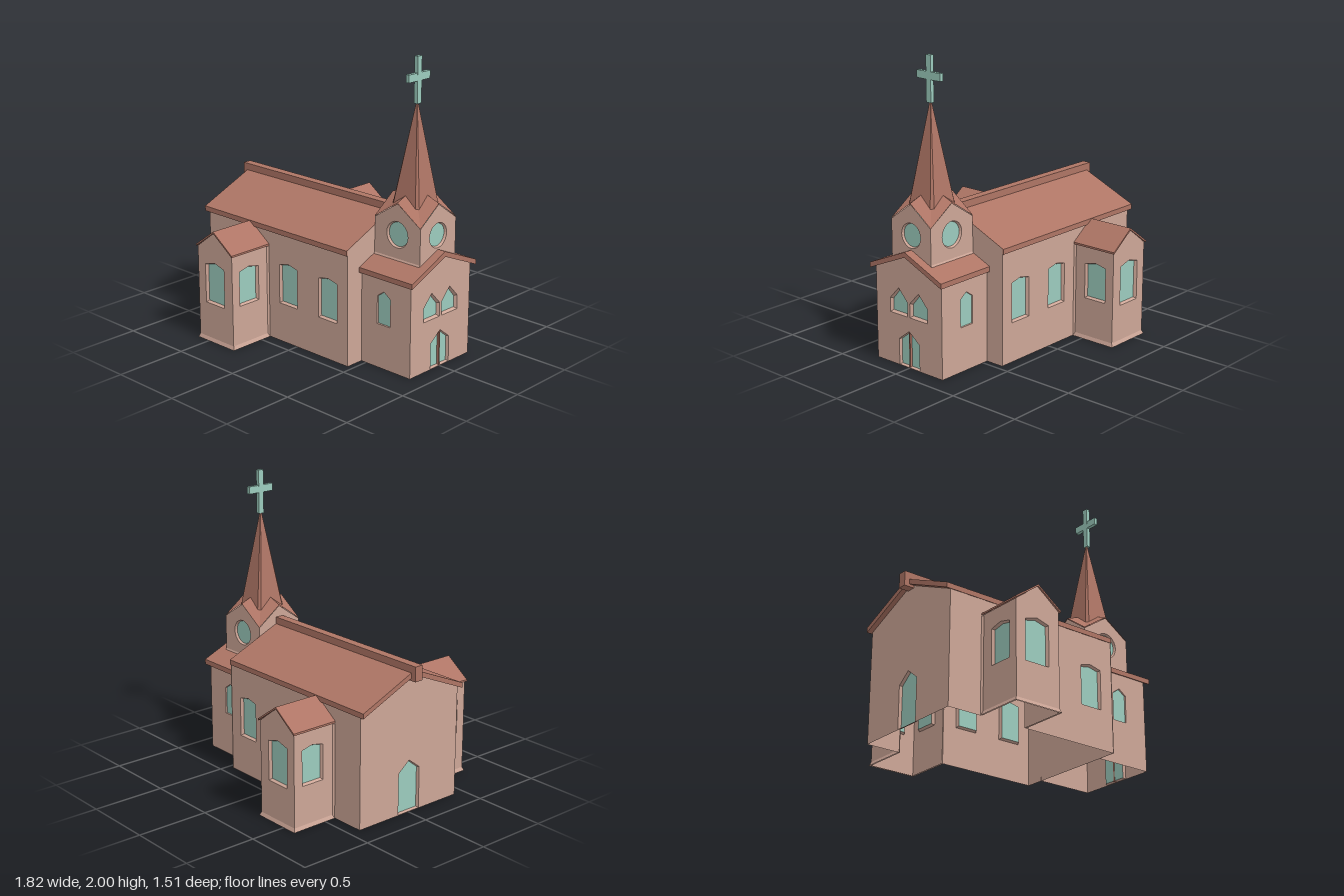
import * as THREE from 'three';

const material = (name, color) => {
  const m = new THREE.MeshStandardMaterial({ color, side: THREE.DoubleSide, flatShading: true });
  m.name = name;
  return m;
};

export function createModel() {
  const plaster = material('pink plaster', 0xcda697);
  const tile = material('red roof tile', 0xae7565);
  const glass = material('pale green', 0x9ccbbd);
  const root = new THREE.Group();
  root.name = 'church';

  const add = (parent, name, geometry, mat) => {
    const mesh = new THREE.Mesh(geometry, mat);
    mesh.name = name;
    parent.add(mesh);
    return mesh;
  };
  const box = (name, w, h, d, x, y, z, mat) =>
    add(root, name, new THREE.BoxGeometry(w, h, d), mat).position.set(x, y, z);

  const triangles = (positions) => {
    const g = new THREE.BufferGeometry();
    g.setAttribute('position', new THREE.Float32BufferAttribute(positions, 3));
    g.computeVertexNormals();
    return g;
  };
  // Strip of quads between two matching rows of 3D points
  const loft = (a, b, closed = true) => {
    const p = [];
    for (let i = 0; i < a.length - (closed ? 0 : 1); i++) {
      const j = (i + 1) % a.length;
      p.push(...a[i], ...a[j], ...b[j], ...a[i], ...b[j], ...b[i]);
    }
    return triangles(p);
  };
  const shapeOf = (pts) => new THREE.Shape(pts.map(([x, y]) => new THREE.Vector2(x, y)));

  // Openings: outer outline on the wall, smaller inner outline for the recessed glass
  const pointed = (c, w, y0, ySide, yPeak, bevel = 0.01, depth = 0.02) => {
    const ring = (b) => [[c - w / 2 + b, y0 + b], [c + w / 2 - b, y0 + b],
      [c + w / 2 - b, ySide - b / 2], [c, yPeak - b], [c - w / 2 + b, ySide - b / 2]];
    return { outer: ring(0), inner: ring(bevel), depth };
  };
  const round = (c, y, r) => {
    const ring = (q) => Array.from({ length: 24 }, (_, i) => {
      const t = (i / 24) * Math.PI * 2;
      return [c + q * Math.cos(t), y + q * Math.sin(t)];
    });
    return { outer: ring(r), inner: ring(r - 0.008), depth: 0.015 };
  };

  // Upright wall facing +/- axis; outlines run along the world x or z direction
  const wall = (name, axis, sign, x, z, outline, openings = []) => {
    const group = new THREE.Group();
    group.name = name;
    const k = axis === 'z' ? sign : -sign;
    const local = (pts) => pts.map(([u, v]) => [u * k, v]);
    const shape = shapeOf(local(outline));
    for (const o of openings) {
      const outer = local(o.outer), inner = local(o.inner);
      shape.holes.push(shapeOf(outer));
      add(group, 'windowReveal', loft(outer.map((p) => [...p, 0]), inner.map((p) => [...p, -o.depth])), plaster);
      add(group, 'windowPane', new THREE.ShapeGeometry(shapeOf(inner)), glass).position.z = -o.depth;
    }
    add(group, 'wallFace', new THREE.ShapeGeometry(shape), plaster);
    group.position.set(x, 0, z);
    group.rotation.y = axis === 'z' ? (sign > 0 ? 0 : Math.PI) : sign * Math.PI / 2;
    root.add(group);
  };
  const gable = (c, half, y0, eave, peak) =>
    [[c - half, y0], [c + half, y0], [c + half, eave], [c, peak], [c - half, eave]];
  const rect = (a, b, y0, y1) => [[a, y0], [b, y0], [b, y1], [a, y1]];

  // Chevron roof slab running along x or z
  const roof = (name, axis, from, to, centre, half, eave, ridge, thick) => {
    const s = shapeOf([[-half, eave - thick], [0, ridge - thick], [half, eave - thick],
      [half, eave], [0, ridge], [-half, eave]]);
    const m = add(root, name, new THREE.ExtrudeGeometry(s, { depth: to - from, bevelEnabled: false }), tile);
    if (axis === 'x') {
      m.rotation.y = Math.PI / 2;
      m.position.set(from, 0, centre);
    } else m.position.set(centre, 0, from);
  };

  // Nave
  const TX = -0.43; // transept centre
  for (const s of [1, -1]) {
    wall('naveSideWall', 'z', s, 0, s * 0.42,
      [[-0.84, 0], [TX - 0.17, 0], [TX - 0.17, 0.65], [TX, 0.75], [TX + 0.17, 0.65], [TX + 0.17, 0],
        [0.46, 0], [0.46, 0.765], [-0.84, 0.765]],
      [pointed(-0.077, 0.165, 0.27, 0.54, 0.56), pointed(0.283, 0.165, 0.27, 0.54, 0.56)]);
  }
  wall('naveBackWall', 'x', -1, -0.84, 0, gable(0, 0.42, 0, 0.765, 0.945),
    [pointed(0, 0.18, 0.003, 0.29, 0.36, 0.006)]);
  wall('naveFrontGable', 'x', 1, 0.461, 0, gable(0, 0.423, 0, 0.792, 0.975));
  roof('naveRoof', 'x', -0.875, 0.46, 0, 0.43, 0.79, 0.975, 0.035);
  box('ridgeBeam', 1.37, 0.1, 0.06, -0.225, 0.96, 0, tile);

  // Transepts, flared where they meet the ground and the nave
  for (const s of [1, -1]) {
    wall('transeptEndWall', 'z', s, 0, s * 0.745, gable(TX, 0.165, 0, 0.652, 0.777),
      [pointed(TX - 0.005, 0.18, 0.27, 0.54, 0.565)]);
    for (const d of [1, -1]) {
      wall('transeptSideWall', 'x', d, TX + d * 0.165, 0, rect(s * 0.42, s * 0.745, 0, 0.652),
        [pointed(s * 0.595, 0.17, 0.29, 0.53, 0.55)]);
    }
    const arch = (h, e, p, z) => [[TX - h, 0, z], [TX - h, e, z], [TX, p, z], [TX + h, e, z], [TX + h, 0, z]];
    add(root, 'transeptCollar',
      loft(arch(0.175, 0.645, 0.77, s * 0.422), arch(0.165, 0.645, 0.77, s * 0.434), false), plaster);
    const skirt = (h, y, z) => [[TX - h, y, s * 0.42], [TX - h, y, s * z], [TX + h, y, s * z], [TX + h, y, s * 0.42]];
    add(root, 'transeptSkirt', loft(skirt(0.175, 0, 0.755), skirt(0.165, 0.025, 0.745), false), plaster);
    roof('transeptRoof', 'z', s > 0 ? 0.42 : -0.755, s > 0 ? 0.755 : -0.42, TX, 0.175, 0.662, 0.788, 0.013);
  }

  // Entrance hall
  for (const s of [1, -1]) {
    wall('hallSideWall', 'z', s, 0, s * 0.29, rect(0.46, 0.875, 0, 0.637),
      [pointed(0.65, 0.11, 0.3, 0.49, 0.528, 0.003, 0.008)]);
  }
  wall('hallFrontWall', 'x', 1, 0.875, 0, gable(0, 0.29, 0, 0.637, 0.762),
    [pointed(0.088, 0.156, 0.345, 0.44, 0.523, 0.012), pointed(-0.088, 0.156, 0.345, 0.44, 0.523, 0.012),
      pointed(0, 0.18, 0.003, 0.18, 0.25, 0.006)]);
  box('doorPost', 0.02, 0.24, 0.01, 0.862, 0.122, 0, tile);
  roof('hallRoof', 'x', 0.46, 0.905, 0, 0.315, 0.652, 0.787, 0.035);

  // Bell tower
  const CX = 0.653, HX = 0.19, HZ = 0.172;
  for (const s of [1, -1]) {
    wall('towerSideWall', 'z', s, 0, s * HZ, gable(CX, HX, 0.69, 0.96, 1.085), [round(CX, 0.88, 0.088)]);
    wall('towerEndWall', 'x', s, CX + s * HX, 0,
      [[-HZ, 0.69], [0, 0.765], [HZ, 0.69], [HZ, 0.96], [0, 1.085], [-HZ, 0.96]],
      s > 0 ? [round(0, 0.88, 0.083)] : []);
  }
  const ring = (hx, hz, y) => [[CX - hx, y, hz], [CX + hx, y, hz], [CX + hx, y, -hz], [CX - hx, y, -hz]];
  add(root, 'towerSkirt', loft(ring(HX, HZ + 0.012, 0.7), ring(HX, HZ, 0.722)), plaster);

  // Four-gabled tower roof: eight faces rising from the gables to the centre
  const rim = [];
  const corners = ring(HX + 0.002, HZ + 0.003, 0.962);
  corners.forEach((c, i) => {
    const n = corners[(i + 1) % 4];
    rim.push(c, [(c[0] + n[0]) / 2, 1.09, (c[2] + n[2]) / 2]);
  });
  add(root, 'towerRoof', triangles(rim.flatMap((p, i) => [...p, ...rim[(i + 1) % 8], CX, 1.16, 0])), tile);

  // Spire: square with narrow chamfered corners
  const chamfered = (h, c, y) => [[-h + c, h], [h - c, h], [h, h - c], [h, -h + c],
    [h - c, -h], [-h + c, -h], [-h, -h + c], [-h, h - c]].map(([x, z]) => [CX + x, y, z]);
  add(root, 'spire', loft(chamfered(0.113, 0.018, 1.03), chamfered(0.004, 0.001, 1.71)), tile);

  // Cross
  box('crossPost', 0.027, 0.3, 0.04, 0.657, 1.85, 0, glass);
  box('crossBar', 0.026, 0.05, 0.2, 0.657, 1.87, 0, glass);

  return root;
}
